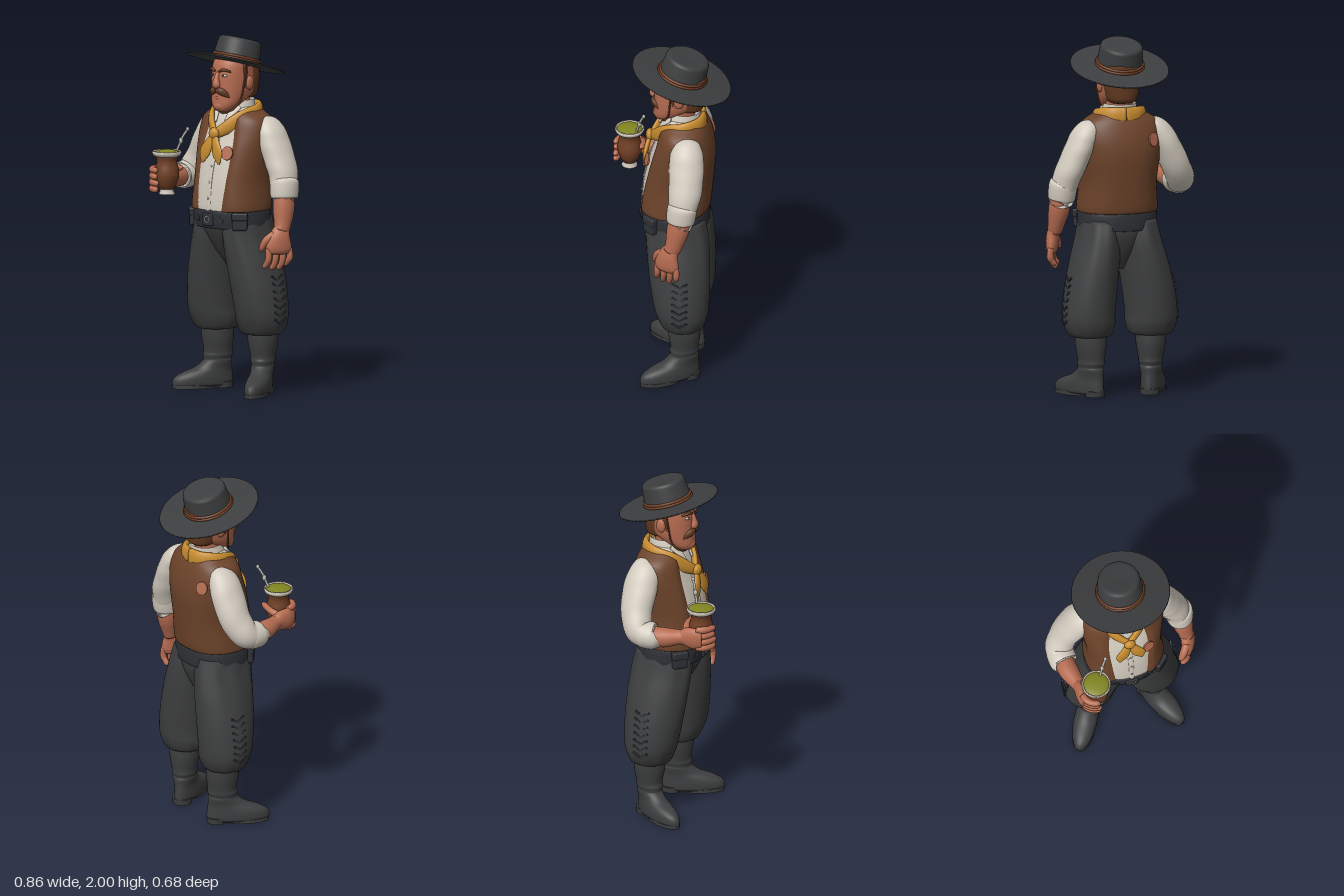
import * as THREE from 'three';
import { RoundedBoxGeometry } from 'three/addons/geometries/RoundedBoxGeometry.js';

const mat = (name, color, side = THREE.FrontSide) => new THREE.MeshStandardMaterial({ name, color, side });

// Smooth skin over sections [x, y, z, ru, rv]. Without ref the rings lie flat and rise in y;
// with ref they follow the path. "half" gives the half width of a front opening along the loft.
function loft(sections, { ref = null, seg = 28, steps = 5, n = 2, fold = null, half = null, thick = 0 } = {}) {
  const path = new THREE.CatmullRomCurve3(sections.map(s => new THREE.Vector3(s[0], s[1], s[2])), false, 'catmullrom');
  const size = new THREE.CatmullRomCurve3(sections.map(s => new THREE.Vector3(s[3], s[4], 0)), false, 'catmullrom');
  const rows = (sections.length - 1) * steps, pos = [], idx = [];
  const cols = half ? seg + 1 : seg;
  const pw = v => Math.sign(v) * Math.abs(v) ** (2 / n);
  for (let i = 0; i <= rows; i++) {
    const t = i / rows, c = path.getPoint(t), r = size.getPoint(t);
    const dir = ref ? path.getTangent(t) : new THREE.Vector3(0, 1, 0);
    const v = ref ? new THREE.Vector3(...ref) : new THREE.Vector3(0, 0, 1);
    v.addScaledVector(dir, -v.dot(dir)).normalize();
    const u = dir.clone().cross(v);
    const a0 = half ? Math.asin(Math.min(1, (half(t) / r.x) ** (n / 2))) : 0;
    for (let j = 0; j < cols; j++) {
      const a = a0 + (2 * Math.PI - 2 * a0) * j / seg;
      const inset = half && (j === 0 || j === seg) ? thick : 0;
      const k = fold ? 1 + fold(a, t) : 1;
      const p = c.clone().addScaledVector(u, pw(Math.sin(a)) * (r.x - inset) * k)
        .addScaledVector(v, pw(Math.cos(a)) * (r.y - inset) * k);
      pos.push(p.x, p.y, p.z);
    }
  }
  for (let i = 0; i < rows; i++) for (let j = 0; j < seg; j++) {
    const a = i * cols + j, b = i * cols + (j + 1) % cols;
    idx.push(a, b, a + cols, b, b + cols, a + cols);
  }
  if (!half) {
    const e = pos.length / 3, last = rows * cols, c0 = path.getPoint(0), c1 = path.getPoint(1);
    pos.push(c0.x, c0.y, c0.z, c1.x, c1.y, c1.z);
    for (let j = 0; j < seg; j++) {
      const k = (j + 1) % seg;
      idx.push(e, k, j, e + 1, last + j, last + k);
    }
  }
  const g = new THREE.BufferGeometry();
  g.setAttribute('position', new THREE.Float32BufferAttribute(pos, 3));
  g.setIndex(idx);
  g.computeVertexNormals();
  return g;
}
const tube = (pts, r, seg = 24) => new THREE.TubeGeometry(
  new THREE.CatmullRomCurve3(pts.map(p => new THREE.Vector3(...p))), seg, r, 8);
const lathe = (pts, seg = 40) => new THREE.LatheGeometry(pts.map(p => new THREE.Vector2(...p)), seg);

export function createModel() {
  const felt = mat('dark cloth', 0x3d3e3f), belt = mat('belt black', 0x2e3136);
  const skin = mat('skin', 0xb66c51), brown = mat('vest brown', 0x6c432a, THREE.DoubleSide);
  const linen = mat('linen', 0xd2cabe, THREE.DoubleSide), gold = mat('scarf gold', 0xc68b2e);
  const hair = mat('hair brown', 0x633a22), leather = mat('leather', 0x714026);
  const green = mat('herb green', 0x818620), metal = mat('metal', 0xb3b0aa);
  const root = new THREE.Group();
  const add = (geo, m, name, parent = root) => {
    const o = new THREE.Mesh(geo, m);
    o.name = name;
    parent.add(o);
    return o;
  };
  const ball = (m, name, p, s) => {
    const o = add(new THREE.SphereGeometry(1, 20, 14), m, name);
    o.position.set(...p); o.scale.set(...s);
    return o;
  };
  const X = [1, 0, 0], Y = [0, 1, 0], Z = [0, 0, 1];

  // Shirt and waistcoat
  const torso = [[0, 1.0, -.03, .212, .18], [0, 1.06, -.03, .21, .185], [0, 1.2, -.045, .2, .186], [0, 1.35, -.068, .215, .174],
    [0, 1.45, -.08, .224, .151], [0, 1.535, -.08, .204, .124], [0, 1.585, -.08, .135, .096], [0, 1.61, -.08, .08, .07]];
  add(loft(torso, { n: 2.3, seg: 40 }), linen, 'shirt');
  const vest = torso.slice(1, 7).map(s => [s[0], s[1], s[2], s[3] + .014, s[4] + .014]);
  vest[0][1] = 1.045;
  vest.unshift([0, 1.035, -.03, .207, .18]);
  add(loft(vest, { n: 2.3, seg: 48, half: t => .086 + .03 * Math.sin(Math.PI * t) ** 2, thick: .016 }), brown, 'waistcoat');
  add(loft([[0, 1.03, .155, .014, .005], [0, 1.2, .141, .014, .005], [0, 1.35, .106, .014, .005], [0, 1.45, .071, .013, .004]]), linen, 'shirtPlacket');
  for (const [y, z] of [[1.1, .158], [1.19, .147], [1.28, .13]]) ball(linen, 'shirtButton', [0, y, z], [.006, .006, .004]);
  for (const [x, y, z, ry, rx] of [[.107, 1.36, .115, .3, -.25], [-.15, 1.445, -.222, .5, .15]]) {
    const p = add(new THREE.CylinderGeometry(.034, .034, .009, 20).rotateX(Math.PI / 2), skin, 'vestPatch');
    p.position.set(x, y, z); p.rotation.set(rx, ry, 0); p.scale.y = 1.15;
  }

  // Neck, collar and scarf
  add(loft([[0, 1.48, -.03, .05, .09], [0, 1.54, -.05, .065, .085], [0, 1.6, -.065, .075, .075], [0, 1.7, -.07, .08, .08]]), skin, 'neck');
  add(loft([[0, 1.57, -.07, .105, .105], [0, 1.64, -.085, .09, .09]], { half: () => .055, seg: 32 }), linen, 'collar');
  for (const s of [-1, 1]) {
    add(loft([[s * .08, 1.61, -.01, .018, .008], [s * .055, 1.57, .03, .02, .008], [s * .035, 1.52, .062, .006, .006]], { ref: Z }), linen, 'collarFlap');
    add(loft([[0, 1.568, -.19, .022, .06], [s * .078, 1.572, -.168, .022, .055], [s * .128, 1.57, -.09, .023, .046],
      [s * .113, 1.545, 0, .02, .045], [s * .064, 1.5, .06, .018, .038], [0, 1.455, .102, .016, .026]], { ref: Y }), gold, 'scarfBand');
    add(loft([[s * .004, 1.46, .108, .014, .012], [s * .028, 1.4, .125, .03, .014], [s * .05, 1.35, .134, .036, .012],
      [s * .064, 1.295, .138, .007, .006]], { ref: Z }), gold, 'scarfTail');
  }
  ball(gold, 'scarfKnot', [0, 1.46, .11], [.034, .034, .025]);

  // Head
  const skull = [[0, 1.577, .035, .025, .03], [0, 1.59, .033, .052, .05], [0, 1.62, .01, .08, .08], [0, 1.67, -.03, .101, .117],
    [0, 1.73, -.049, .11, .136], [0, 1.8, -.05, .11, .133], [0, 1.86, -.06, .105, .125], [0, 1.9, -.07, .07, .09]];
  add(loft(skull, { seg: 36, n: 2.15 }), skin, 'head');
  add(loft([[0, 1.645, -.11, .06, .06], [0, 1.665, -.112, .084, .078], [0, 1.72, -.108, .1, .088], [0, 1.78, -.105, .107, .095],
    [0, 1.86, -.105, .105, .1]], { n: 2.2 }), hair, 'hairBack');
  add(loft([[0, 1.8, .078, .013, .012], [0, 1.765, .09, .016, .016], [0, 1.732, .094, .026, .021], [0, 1.715, .088, .016, .012]], { ref: Z }), skin, 'nose');
  ball(skin, 'chin', [0, 1.612, .068], [.04, .028, .026]);
  ball(skin, 'lowerLip', [0, 1.658, .078], [.03, .01, .012]);
  for (const s of [-1, 1]) {
    ball(skin, 'ear', [s * .111, 1.74, -.06], [.016, .04, .028]);
    ball(linen, 'eye', [s * .044, 1.785, .071], [.017, .008, .01]);
    ball(belt, 'pupil', [s * .042, 1.785, .079], [.008, .008, .004]);
    add(loft([[s * .018, 1.808, .086, .008, .006], [s * .045, 1.818, .081, .01, .008], [s * .078, 1.808, .055, .005, .005]], { ref: Y, seg: 12 }), hair, 'eyebrow');
    add(loft([[0, 1.703, .09, .013, .014], [s * .03, 1.697, .088, .015, .02], [s * .052, 1.683, .073, .01, .017],
      [s * .068, 1.662, .055, .004, .004]], { ref: Y, seg: 14 }), hair, 'moustache');
    add(loft([[s * .1, 1.71, -.025, .008, .01], [s * .105, 1.76, -.03, .009, .014], [s * .104, 1.85, -.035, .01, .02]], { seg: 12 }), hair, 'sideburn');
    add(tube([[s * .116, 1.85, -.03], [s * .114, 1.74, -.012], [s * .094, 1.64, .0], [s * .05, 1.582, .03], [0, 1.568, .042]], .005), leather, 'chinStrap');
  }

  // Wide brimmed hat, tilted back
  const hat = new THREE.Group();
  hat.name = 'hat';
  hat.position.set(-.004, 1.84, -.065);
  hat.rotation.x = -.29;
  hat.scale.z = 1.04;
  root.add(hat);
  add(lathe([[0, -.006], [.12, -.006], [.272, -.005], [.276, 0], [.272, .006], [.14, .008], [.13, .014], [.127, .03],
    [.119, .115], [.115, .128], [.106, .135], [.09, .136], [0, .13]], 64), felt, 'hatBody', hat);
  for (const [y, r] of [[.016, .131], [.029, .128]]) {
    add(new THREE.TorusGeometry(r, .008, 8, 48).rotateX(Math.PI / 2), leather, 'hatBand', hat).position.y = y;
  }

  // Belt with pouches and fittings
  add(loft([[0, .935, -.035, .205, .17], [0, .94, -.035, .222, .187], [0, 1.025, -.03, .222, .192], [0, 1.033, -.03, .206, .175]],
    { n: 2.2, seg: 40 }), belt, 'belt');
  add(new RoundedBoxGeometry(.075, .07, .02, 3, .008), belt, 'buckle').position.set(0, .983, .158);
  add(new THREE.TorusGeometry(.017, .004, 8, 24), metal, 'buckleRing').position.set(0, .983, .167);
  for (const s of [-1, 1]) {
    const pouch = new THREE.Group();
    pouch.name = 'pouch';
    pouch.position.set(s * .178, .978, .088);
    pouch.rotation.y = s * .75;
    root.add(pouch);
    add(new RoundedBoxGeometry(.085, .095, .05, 3, .012), belt, 'pouchBody', pouch);
    add(new RoundedBoxGeometry(.09, .045, .058, 3, .01), belt, 'pouchFlap', pouch).position.y = .03;
    const stud = add(new THREE.CylinderGeometry(.017, .017, .012, 16).rotateX(Math.PI / 2), belt, 'beltStud');
    stud.position.set(s * .085, .983, .146);
    stud.rotation.y = s * .35;
  }

  // Baggy trousers, pleated at the waist and gathered at the hem
  add(loft([[0, .71, -.06, .02, .06], [0, .8, -.055, .1, .12], [0, .9, -.045, .19, .165], [0, 1.0, -.03, .211, .185]], { seg: 36 }), felt, 'trouserSeat');
  const pleats = (a, t) => .022 * Math.cos(9 * a + 2 * t) * Math.cos(Math.PI * t) ** 2;
  for (const s of [-1, 1]) {
    add(loft([[s * .178, .335, -.09, .085, .09], [s * .177, .345, -.09, .12, .115], [s * .18, .4, -.088, .143, .14], [s * .182, .47, -.082, .147, .154],
      [s * .168, .6, -.073, .146, .167], [s * .142, .75, -.062, .137, .175], [s * .117, .88, -.05, .124, .175], [s * .104, .99, -.038, .112, .165]],
    { seg: 54, fold: pleats }), felt, 'trouserLeg');
    // Chevron braid down the outer leg
    for (let i = 0; i < 7; i++) for (const k of [-1, 1]) {
      const y = .42 + i * .04;
      const bar = add(new THREE.BoxGeometry(.009, .011, .05), belt, 'legBraid');
      bar.position.set(s * (.326 - Math.max(0, y - .5) * .16), y, -.084 + k * .021);
      bar.rotation.set(k * -.55, 0, s * Math.max(0, y - .47) * .8);
    }
    // Boots, toes turned out
    const boot = new THREE.Group();
    boot.name = 'boot';
    boot.position.set(s * .175, 0, -.1);
    boot.rotation.y = s * .49;
    root.add(boot);
    add(loft([[0, .012, .09, .054, .166], [0, .025, .09, .064, .177], [0, .06, .085, .066, .171], [0, .088, .064, .063, .147],
      [0, .115, .028, .06, .108], [0, .15, .004, .064, .084], [0, .165, .004, .063, .079], [0, .185, .002, .069, .084],
      [0, .21, 0, .07, .081], [0, .29, .002, .084, .091], [0, .38, .005, .086, .09]], { seg: 32, steps: 4 }), felt, 'bootUpper', boot);
    add(new THREE.CylinderGeometry(1, 1, .02, 32).scale(.06, 1, .128), felt, 'bootSole', boot).position.set(0, .01, .136);
    add(new THREE.CylinderGeometry(.057, .053, .034, 24), felt, 'bootHeel', boot).position.set(0, .017, -.03);
  }

  // Left arm, hanging, palm turned partly back
  const creases = (a, t) => .018 * Math.sin(26 * t + 2 * Math.sin(a)) * t;
  const H = [-.5, 0, 1];
  add(loft([[.17, 1.5, -.11, .05, .07], [.198, 1.49, -.113, .068, .085], [.23, 1.445, -.116, .076, .096], [.265, 1.37, -.118, .077, .098],
    [.31, 1.27, -.115, .077, .092], [.342, 1.17, -.1, .072, .08]], { ref: Z, fold: creases, steps: 8 }), linen, 'leftSleeve');
  add(loft([[.338, 1.205, -.105, .068, .07], [.34, 1.195, -.103, .08, .083], [.347, 1.12, -.094, .075, .08], [.348, 1.11, -.093, .062, .066]], { ref: Z }), linen, 'leftCuff');
  add(loft([[.348, 1.16, -.092, .052, .057], [.356, 1.06, -.08, .059, .063], [.367, .97, -.06, .046, .05], [.37, .93, -.045, .04, .046]], { ref: Z }), skin, 'leftForearm');
  add(loft([[.37, .95, -.05, .034, .042], [.375, .9, -.028, .037, .062], [.376, .84, -.02, .034, .075], [.374, .81, -.02, .024, .066]], { ref: H }), skin, 'leftPalm');
  for (let i = 0; i < 4; i++) {
    const z = .036 - i * .037, x = -(z + .02) * .5, d = i === 3 ? .02 : i === 0 ? .01 : 0;
    add(loft([[.376 + x, .84, z, .017, .017], [.38 + x, .79, z, .019, .018], [.37 + x, .75 + d, z + .003, .017, .016],
      [.352 + x, .728 + d, z + .005, .014, .014], [.346 + x, .722 + d, z + .005, .005, .005]], { ref: Z, seg: 12 }), skin, 'leftFinger');
  }
  add(loft([[.36, .92, .0, .022, .022], [.334, .885, .035, .022, .022], [.315, .845, .05, .017, .017], [.306, .82, .05, .006, .006]], { ref: Z, seg: 14 }), skin, 'leftThumb');

  // Right arm, bent forward
  add(loft([[-.17, 1.5, -.11, .07, .05], [-.198, 1.49, -.113, .085, .068], [-.232, 1.445, -.116, .096, .076], [-.273, 1.37, -.118, .098, .078],
    [-.322, 1.27, -.108, .088, .08], [-.358, 1.2, -.07, .08, .078], [-.357, 1.18, 0, .07, .072]], { ref: X, fold: creases, steps: 8 }), linen, 'rightSleeve');
  add(loft([[-.36, 1.185, -.06, .066, .066], [-.36, 1.185, -.05, .077, .078], [-.354, 1.18, .012, .075, .078], [-.352, 1.18, .022, .06, .062]], { ref: X }), linen, 'rightCuff');
  add(loft([[-.356, 1.18, -.02, .052, .052], [-.342, 1.18, .07, .056, .056], [-.318, 1.188, .15, .043, .042], [-.31, 1.192, .19, .043, .034]], { ref: X }), skin, 'rightForearm');
  add(loft([[-.314, 1.19, .16, .038, .034], [-.312, 1.195, .2, .056, .034], [-.315, 1.195, .25, .062, .028], [-.305, 1.195, .29, .05, .022]], { ref: X }), skin, 'rightPalm');
  const cup = [-.232, .248];
  const around = (a, r, y, w) => [cup[0] - r * Math.cos(a), y, cup[1] + r * Math.sin(a), w, w];
  for (let i = 0; i < 4; i++) {
    const y = 1.142 + i * .036, end = 1.62 + .1 * Math.sin(i * 2);
    const f = [0, .3, .6, .9, 1].map((t, k) => around(.1 + (end - .1) * t, .082 - .004 * t, y, [.018, .02, .018, .016, .005][k]));
    add(loft(f, { ref: Y, seg: 14 }), skin, 'rightFinger');
  }
  add(loft([around(-.2, .09, 1.2, .022), around(-.7, .086, 1.225, .022), around(-1.3, .08, 1.245, .018), around(-2, .08, 1.255, .016),
    around(-2.3, .084, 1.257, .005)], { ref: Y, seg: 14 }), skin, 'rightThumb');

  // Drinking gourd with straw
  const gourd = new THREE.Group();
  gourd.name = 'gourd';
  gourd.position.set(cup[0], 0, cup[1]);
  root.add(gourd);
  add(lathe([[0, 1.14], [.038, 1.14], [.052, 1.165], [.066, 1.2], [.069, 1.23], [.063, 1.265], [.056, 1.29], [.06, 1.315], [.07, 1.335], [0, 1.336]]), leather, 'gourdBody', gourd);
  add(lathe([[0, 1.11], [.043, 1.11], [.045, 1.116], [.038, 1.13], [.039, 1.15], [.045, 1.158], [0, 1.16]]), linen, 'gourdFoot', gourd);
  add(lathe([[.066, 1.325], [.075, 1.33], [.082, 1.343], [.08, 1.353], [.074, 1.355], [.069, 1.345], [.066, 1.325]]), linen, 'gourdRim', gourd);
  add(new THREE.SphereGeometry(.073, 28, 8, 0, 2 * Math.PI, 0, Math.PI / 2).scale(1, .25, 1), green, 'herbs', gourd).position.y = 1.343;
  add(tube([[-.2, 1.34, .21], [-.187, 1.39, .194], [-.175, 1.43, .182], [-.155, 1.475, .162]], .007), metal, 'straw');
  ball(metal, 'strawCollar', [-.181, 1.41, .188], [.012, .018, .012]);
  ball(metal, 'strawTip', [-.155, 1.475, .162], [.01, .012, .01]);
  return root;
}
